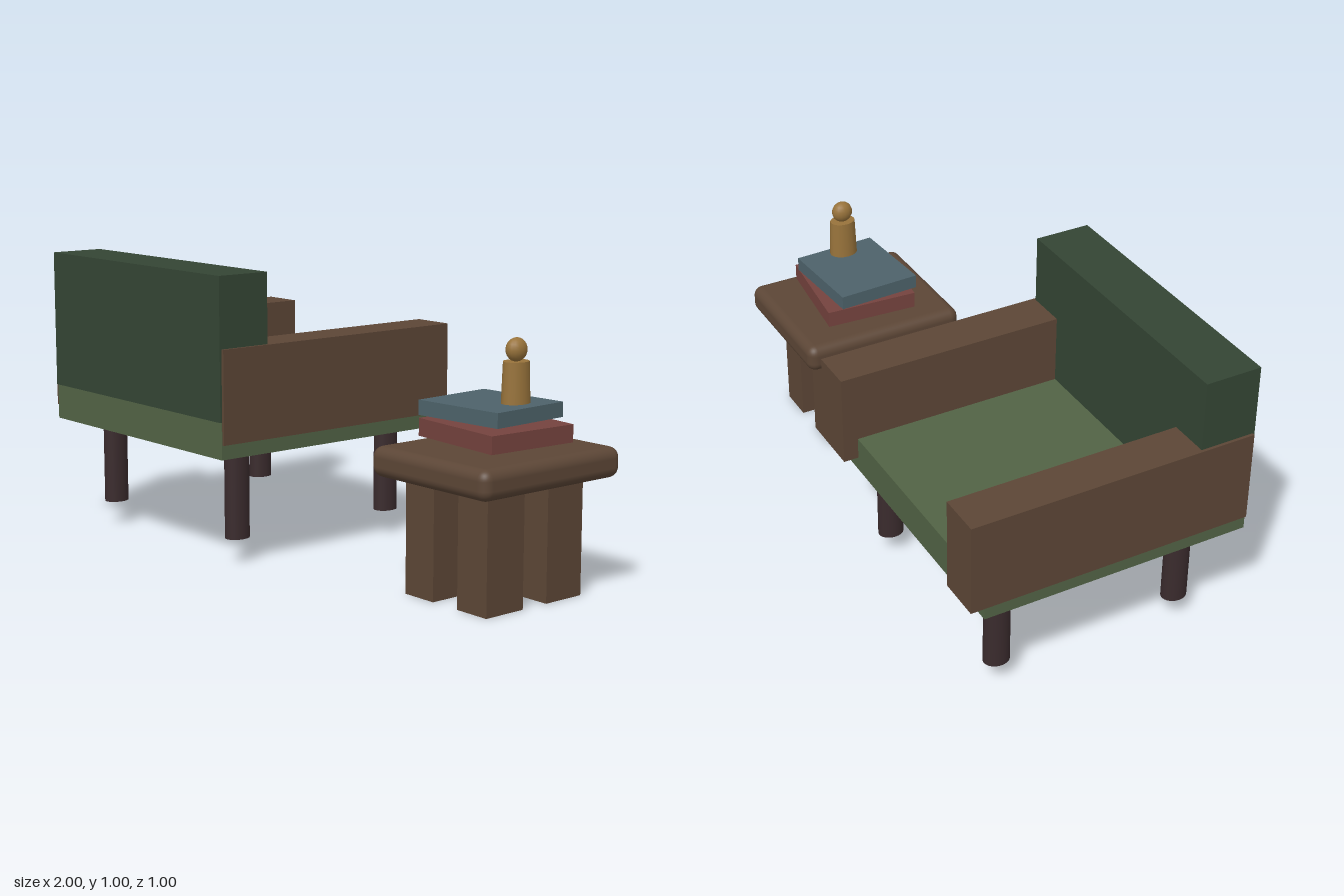
import * as THREE from 'three';
import { RoundedBoxGeometry } from 'three/addons/geometries/RoundedBoxGeometry.js';

const paint = (name, color) => {
  const m = new THREE.MeshStandardMaterial({ color });
  m.name = name;
  return m;
};

export function createModel() {
  const wood = paint('brown wood', 0x5c4636);
  const darkWood = paint('dark wood', 0x3a2b2d);
  const cushion = paint('moss green', 0x526345);
  const backing = paint('deep green', 0x344534);
  const red = paint('dull red', 0x75433e);
  const blue = paint('slate blue', 0x4d626a);
  const brass = paint('brass', 0x98733b);

  const model = new THREE.Group();
  model.name = 'armchairAndSideTable';
  const group = (name) => {
    const g = new THREE.Group();
    g.name = name;
    model.add(g);
    return g;
  };
  const add = (parent, name, geometry, material) => {
    const mesh = new THREE.Mesh(geometry, material);
    mesh.name = name;
    parent.add(mesh);
    return mesh;
  };
  // Box given by its extents on each axis
  const box = (parent, name, material, [x0, x1], [y0, y1], [z0, z1]) =>
    add(parent, name, new THREE.BoxGeometry(x1 - x0, y1 - y0, z1 - z0), material)
      .position.set((x0 + x1) / 2, (y0 + y1) / 2, (z0 + z1) / 2);

  // Armchair, opening towards -z
  const chair = group('armchair');
  box(chair, 'seat', cushion, [-0.99, 0.012], [0.393, 0.518], [-0.448, 0.495]);
  box(chair, 'backrest', backing, [-0.99, 0.012], [0.518, 1], [0.304, 0.5]);
  box(chair, 'rightArmrest', wood, [-1, -0.85], [0.443, 0.76], [-0.5, 0.493]);
  box(chair, 'leftArmrest', wood, [-0.13, 0.022], [0.443, 0.76], [-0.5, 0.493]);
  for (const x of [-0.858, -0.118]) {
    for (const z of [-0.33, 0.338]) {
      const leg = add(chair, 'chairLeg', new THREE.CylinderGeometry(1, 1, 0.31, 24), darkWood);
      leg.scale.set(0.037, 1, 0.045);
      leg.position.set(x, 0.24, z);
    }
  }

  // Side table with a rounded top and four square legs
  const table = group('sideTable');
  const top = add(table, 'tableTop', new RoundedBoxGeometry(0.525, 0.1, 0.604, 4, 0.035), wood);
  top.position.set(0.7375, 0.435, -0.043);
  for (const x of [[0.55, 0.68], [0.79, 0.92]]) {
    for (const z of [[-0.25, -0.094], [0.01, 0.168]]) {
      box(table, 'tableLeg', wood, x, [0, 0.39], z);
    }
  }

  // Books, extruded upwards from their skewed outlines (x, z)
  const books = group('books');
  const book = (name, material, y, height, outline) => {
    const shape = new THREE.Shape(outline.map(([x, z]) => new THREE.Vector2(x, -z)));
    const geometry = new THREE.ExtrudeGeometry(shape, { depth: height, bevelEnabled: false });
    add(books, name, geometry.rotateX(-Math.PI / 2), material).position.y = y;
  };
  book('lowerBook', red, 0.507, 0.058,
    [[0.56, -0.228], [0.93, -0.19], [0.91, 0.145], [0.54, 0.107]]);
  book('upperBook', blue, 0.578, 0.049,
    [[0.54, -0.18], [0.871, -0.204], [0.885, 0.097], [0.554, 0.121]]);

  // Brass ornament: tapered body with a ball on top
  const ornament = group('ornament');
  ornament.position.set(0.823, 0, -0.041);
  ornament.scale.x = 0.8;
  add(ornament, 'ornamentBody', new THREE.CylinderGeometry(0.046, 0.051, 0.132, 16), brass)
    .position.y = 0.701;
  add(ornament, 'ornamentBall', new THREE.SphereGeometry(0.038, 16, 12), brass)
    .position.y = 0.803;

  return model;
}
